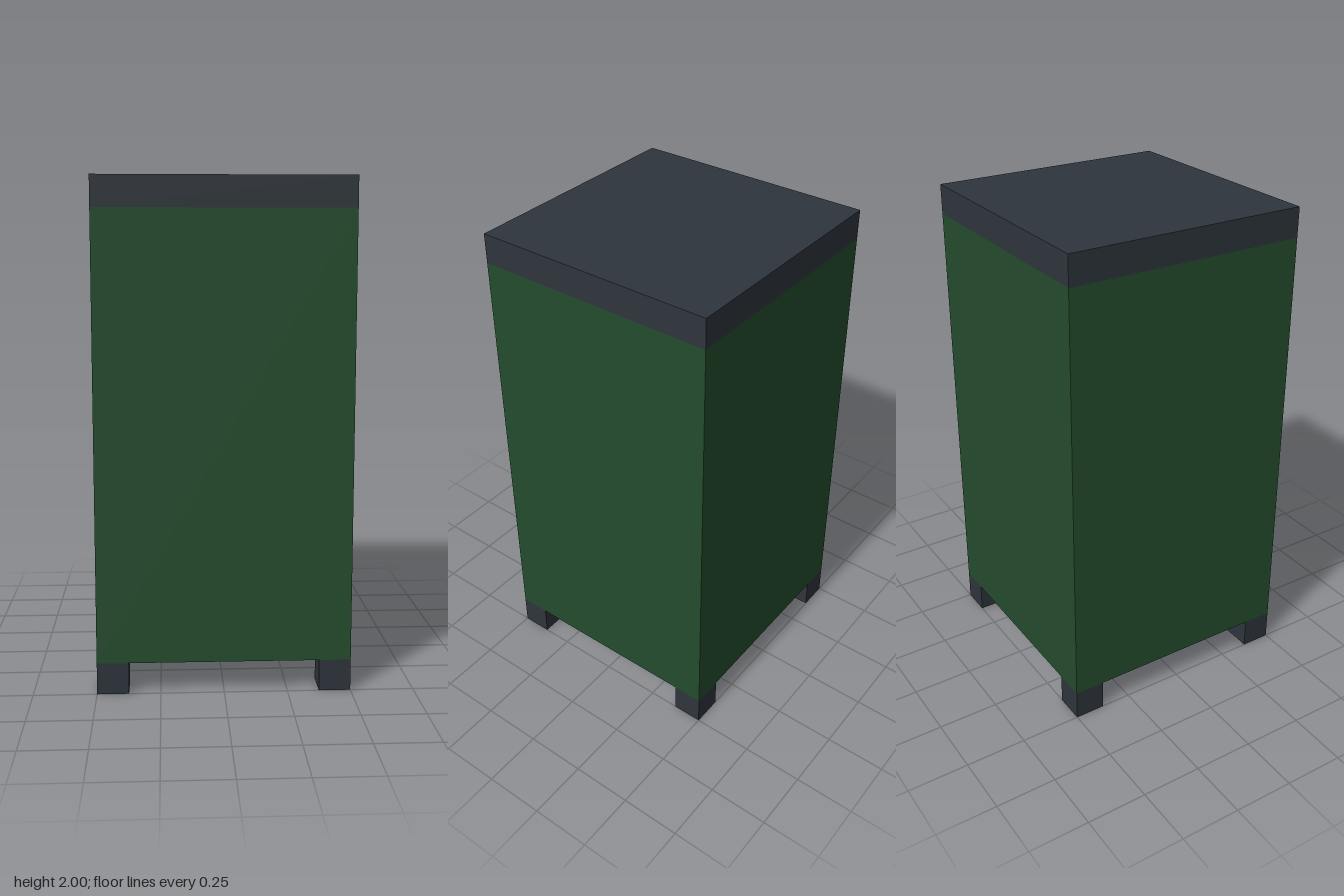
import * as THREE from 'three';

export function createModel() {
  const model = new THREE.Group();
  model.name = 'squareBin';

  const green = new THREE.MeshStandardMaterial({ color: 0x244c2e });
  green.name = 'dark green';
  const slate = new THREE.MeshStandardMaterial({ color: 0x2e353c });
  slate.name = 'dark slate';

  // Adds a box resting on the given base height
  function addBox(name, material, width, height, depth, x, base, z) {
    const mesh = new THREE.Mesh(new THREE.BoxGeometry(width, height, depth), material);
    mesh.name = name;
    mesh.position.set(x, base + height / 2, z);
    model.add(mesh);
  }

  const width = 1, foot = 0.125, lid = 0.12, total = 2;

  // Main body and flush lid
  addBox('body', green, width, total - foot - lid, width, 0, foot, 0);
  addBox('lid', slate, width, lid, width, 0, total - lid, 0);

  // Four cube feet flush with the corners
  const offset = (width - foot) / 2;
  for (const [side, x] of [['Left', offset], ['Right', -offset]]) {
    addBox('front' + side + 'Foot', slate, foot, foot, foot, x, 0, offset);
    addBox('back' + side + 'Foot', slate, foot, foot, foot, x, 0, -offset);
  }

  return model;
}
